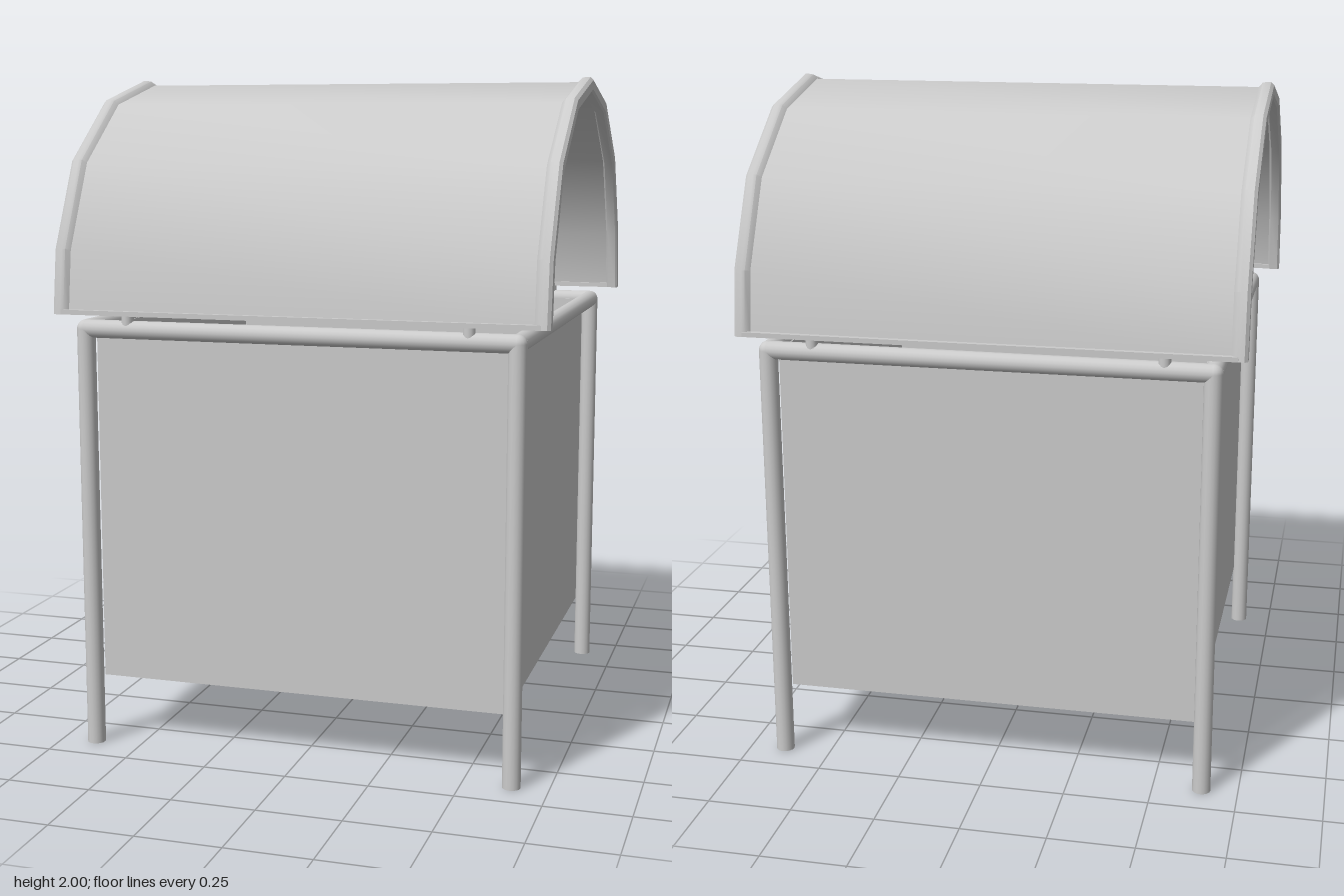
import * as THREE from 'three';
import { toCreasedNormals } from 'three/addons/utils/BufferGeometryUtils.js';

const grey = new THREE.MeshStandardMaterial({ color: 0xcccccc, side: THREE.DoubleSide });

function add(parent, name, geometry, x = 0, y = 0, z = 0) {
  const mesh = new THREE.Mesh(geometry, grey);
  mesh.name = name;
  mesh.position.set(x, y, z);
  parent.add(mesh);
  return mesh;
}

// Sweeps a closed (x, inward depth) section along the faceted arch.
function archGeometry(section) {
  const half = [[0.674, 1.31], [0.65, 1.5], [0.524, 1.757], [0.287, 1.934]];
  const arch = [...half, [0, 2], ...half.slice().reverse().map(([z, y]) => [-z, y])];
  const centreY = 1.33, radius = 0.67, n = section.length;
  const positions = [], index = [];
  arch.forEach(([z, y], i) => {
    const atFoot = i === 0 || i === arch.length - 1;
    for (const [x, depth] of section) {
      const s = 1 - depth / radius;
      positions.push(x, atFoot ? y : centreY + (y - centreY) * s, z * s);
    }
  });
  for (let i = 0; i < arch.length - 1; i++) {
    for (let j = 0; j < n; j++) {
      const a = i * n + j, b = i * n + (j + 1) % n;
      index.push(a, b, a + n, b, b + n, a + n);
    }
  }
  // Close both feet of the arch
  const outline = section.map(([x, d]) => new THREE.Vector2(x, d));
  const last = (arch.length - 1) * n;
  for (const [a, b, c] of THREE.ShapeUtils.triangulateShape(outline, [])) {
    index.push(a, b, c, last + a, last + c, last + b);
  }
  const geometry = new THREE.BufferGeometry();
  geometry.setAttribute('position', new THREE.Float32BufferAttribute(positions, 3));
  geometry.setIndex(index);
  return toCreasedNormals(geometry, 0.65);
}

export function createModel() {
  const model = new THREE.Group();
  model.name = 'coveredBin';
  const post = 0.643, r = 0.027, railY = 1.268, wall = 0.62, floorY = 0.205;

  // Tubular frame: four legs, rounded corners and four top rails
  const frame = new THREE.Group();
  frame.name = 'frame';
  model.add(frame);
  for (const sx of [-1, 1]) {
    for (const sz of [-1, 1]) {
      add(frame, 'leg', new THREE.CylinderGeometry(r, r, railY, 16), sx * post, railY / 2, sz * post);
      add(frame, 'frameCorner', new THREE.SphereGeometry(r, 16, 10), sx * post, railY, sz * post);
    }
  }
  for (const s of [-1, 1]) {
    const rail = new THREE.CylinderGeometry(r, r, 2 * post, 16);
    add(frame, 'longRail', rail, 0, railY, s * post).rotation.z = Math.PI / 2;
    add(frame, 'sideRail', rail, s * post, railY, 0).rotation.x = Math.PI / 2;
  }

  // Open-topped container of thin panels
  const bin = new THREE.Group();
  bin.name = 'container';
  model.add(bin);
  const t = 0.008, h = railY - floorY, midY = floorY + h / 2;
  for (const s of [-1, 1]) {
    const offset = s * (wall - t / 2);
    add(bin, s > 0 ? 'frontPanel' : 'backPanel', new THREE.BoxGeometry(2 * wall, h, t), 0, midY, offset);
    add(bin, s > 0 ? 'leftPanel' : 'rightPanel', new THREE.BoxGeometry(t, h, 2 * wall), offset, midY, 0);
  }
  add(bin, 'floorPanel', new THREE.BoxGeometry(2 * wall, t, 2 * wall), 0, floorY + t / 2, 0);

  // Arched canopy with a thicker raised rim at each end
  const canopy = new THREE.Group();
  canopy.name = 'canopy';
  model.add(canopy);
  const outer = [[0.69, 0.015], [0.702, 0.002], [0.712, 0], [0.727, 0], [0.736, 0.009]];
  const inner = [[0.736, 0.036], [0.73, 0.041], [0.705, 0.041], [0.698, 0.026]];
  const rightHalf = [...outer, ...inner];
  const leftHalf = rightHalf.slice().reverse().map(([x, d]) => [-x, d]);
  add(canopy, 'canopyShell', archGeometry([...leftHalf, ...rightHalf]));

  // Lower lips and the short pegs that carry the canopy
  for (const sz of [-1, 1]) {
    add(canopy, 'canopyLip', new THREE.BoxGeometry(1.42, 0.014, 0.036), 0, 1.317, sz * 0.656);
    for (const sx of [-1, 1]) {
      add(canopy, 'canopyPeg', new THREE.CylinderGeometry(0.018, 0.018, 0.05, 12), sx * 0.508, 1.295, sz * 0.648);
    }
  }
  return model;
}
